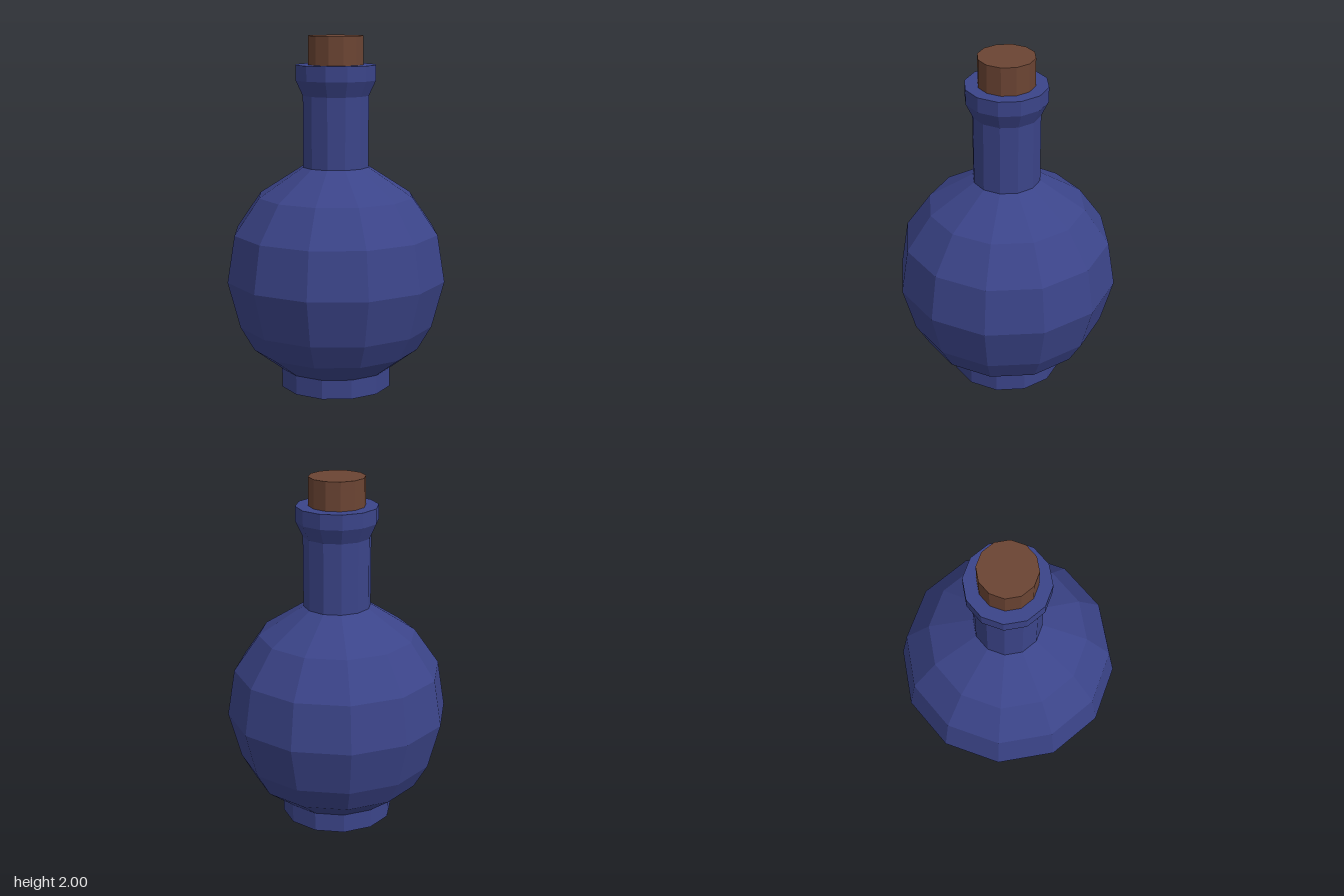
import * as THREE from 'three';

const SIDES = 12;

// Faceted solid of revolution from [radius, height] pairs, bottom to top
function turned(name, profile, color) {
  const points = profile.map(([r, y]) => new THREE.Vector2(r, y));
  const material = new THREE.MeshStandardMaterial({ color, flatShading: true });
  const mesh = new THREE.Mesh(new THREE.LatheGeometry(points, SIDES), material);
  mesh.name = name;
  return mesh;
}

export function createModel() {
  const group = new THREE.Group();
  group.name = 'corkedFlask';
  const glass = 0x3b4489;
  const cork = 0x6b4433;

  // Foot ring with closed underside
  group.add(turned('foot', [[0, 0], [0.32, 0], [0.32, 0.11]], glass));

  // Round belly
  group.add(turned('belly', [
    [0.32, 0.11], [0.48, 0.23], [0.56, 0.37], [0.63, 0.635],
    [0.587, 0.9], [0.445, 1.105], [0.19, 1.27],
  ], glass));

  // Straight neck
  group.add(turned('neck', [[0.19, 1.27], [0.19, 1.67]], glass));

  // Flared lip with flat top
  group.add(turned('lip', [[0.19, 1.67], [0.23, 1.755], [0.23, 1.84], [0, 1.84]], glass));

  // Cork stopper
  group.add(turned('cork', [[0.158, 1.84], [0.158, 2], [0, 2]], cork));

  return group;
}
